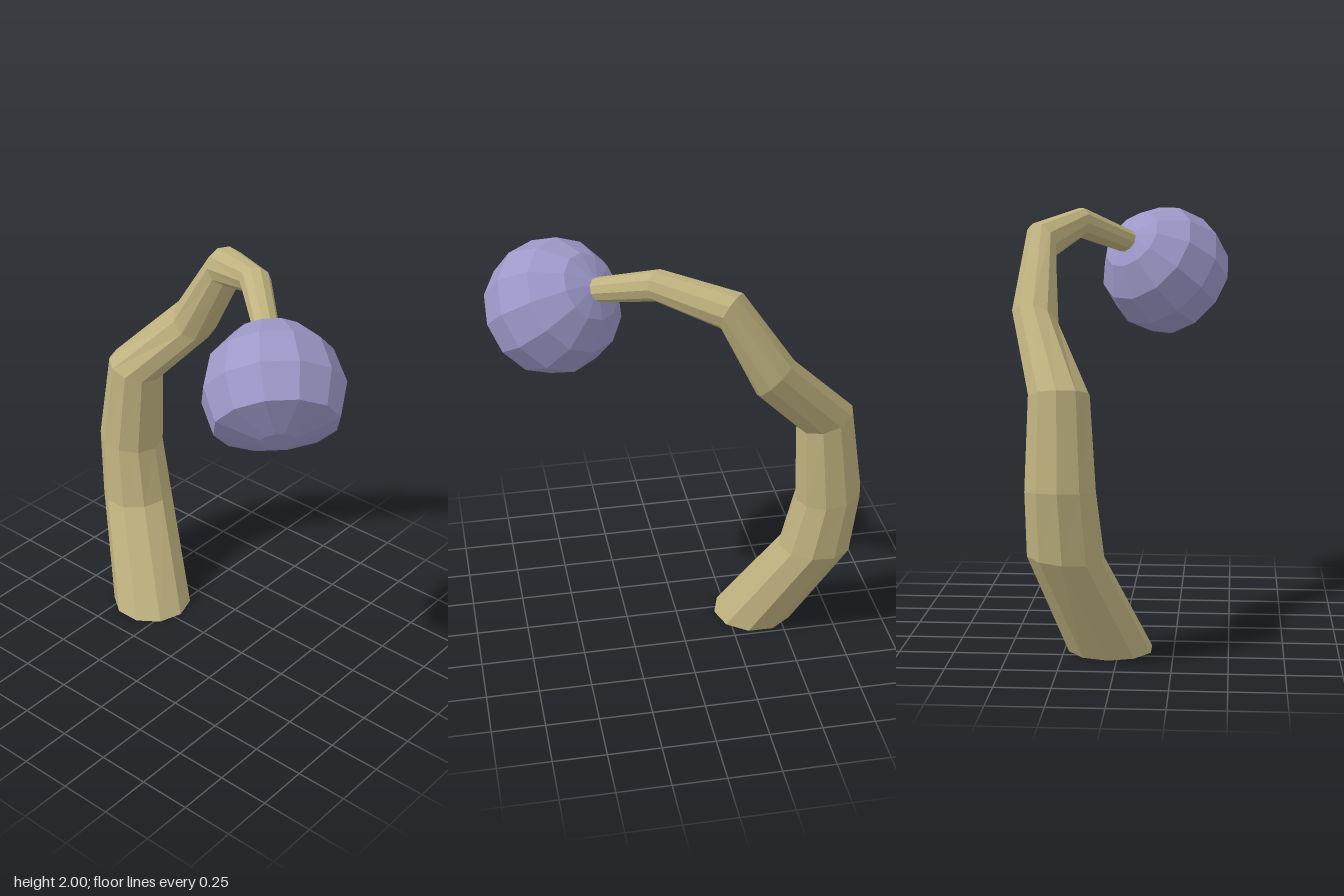
import * as THREE from 'three';

const SIDES = 10;

// Tube through tilted circular rings; each ring: centre, normal, radius
function ringTube(rings) {
  const pos = [], idx = [];
  let u = new THREE.Vector3(1, 0, 0);
  for (const [c, dir, r] of rings) {
    const n = new THREE.Vector3(...dir).normalize();
    u = u.clone().addScaledVector(n, -u.dot(n)).normalize();
    const v = new THREE.Vector3().crossVectors(u, n);
    for (let i = 0; i < SIDES; i++) {
      const a = ((i + 0.5) / SIDES) * Math.PI * 2;
      const p = new THREE.Vector3(...c)
        .addScaledVector(u, Math.cos(a) * r)
        .addScaledVector(v, Math.sin(a) * r);
      pos.push(p.x, p.y, p.z);
    }
  }
  const last = (rings.length - 1) * SIDES;
  for (let k = 0; k < last; k += SIDES) {
    for (let i = 0; i < SIDES; i++) {
      const j = (i + 1) % SIDES;
      const a = k + i, b = k + j;
      idx.push(a, a + SIDES, b, b, a + SIDES, b + SIDES);
    }
  }
  // End caps
  for (let i = 1; i < SIDES - 1; i++) {
    idx.push(0, i, i + 1, last, last + i + 1, last + i);
  }
  const g = new THREE.BufferGeometry();
  g.setAttribute('position', new THREE.Float32BufferAttribute(pos, 3));
  g.setIndex(idx);
  g.computeVertexNormals();
  return g;
}

export function createModel() {
  const group = new THREE.Group();
  const stemMat = new THREE.MeshStandardMaterial({ color: 0xbfb27f, flatShading: true });
  const bulbMat = new THREE.MeshStandardMaterial({ color: 0x9c98c8, flatShading: true });

  // Tapering, hooked stem
  const stem = new THREE.Mesh(ringTube([
    [[0.04, 0, -0.385], [0, 1, 0], 0.197],
    [[0.22, 0.49, -0.64], [-0.07, 1, -0.02], 0.175],
    [[0.238, 0.79, -0.688], [0, 1, 0.12], 0.16],
    [[0.245, 1.21, -0.65], [0.04, 1, 0.3], 0.138],
    [[0.378, 1.51, -0.378], [-0.4, 1, 0.95], 0.114],
    [[0.37, 1.853, -0.178], [-0.14, 0.09, 0.17], 0.092],
    [[0.218, 1.93, 0.12], [-0.85, -0.12, 0.72], 0.071],
    [[-0.01, 1.82, 0.38], [-0.6, -0.4, 0.6], 0.056],
  ]), stemMat);
  stem.name = 'stem';
  group.add(stem);

  // Round head with a flattened, shallow conical tip
  const R = 0.318;
  const profile = [-90, -60, -30, 0, 30].map((deg) => {
    const a = THREE.MathUtils.degToRad(deg);
    return new THREE.Vector2(deg === -90 ? 0 : Math.cos(a) * R, Math.sin(a) * R);
  });
  profile.push(new THREE.Vector2(0.08, 0.23), new THREE.Vector2(0, 0.23));
  const bulb = new THREE.Mesh(new THREE.LatheGeometry(profile, 12), bulbMat);
  bulb.name = 'head';
  bulb.position.set(-0.168, 1.68, 0.54);
  bulb.quaternion.setFromUnitVectors(
    new THREE.Vector3(0, 1, 0),
    new THREE.Vector3(-1, -1, 1).normalize(),
  );
  group.add(bulb);

  return group;
}
